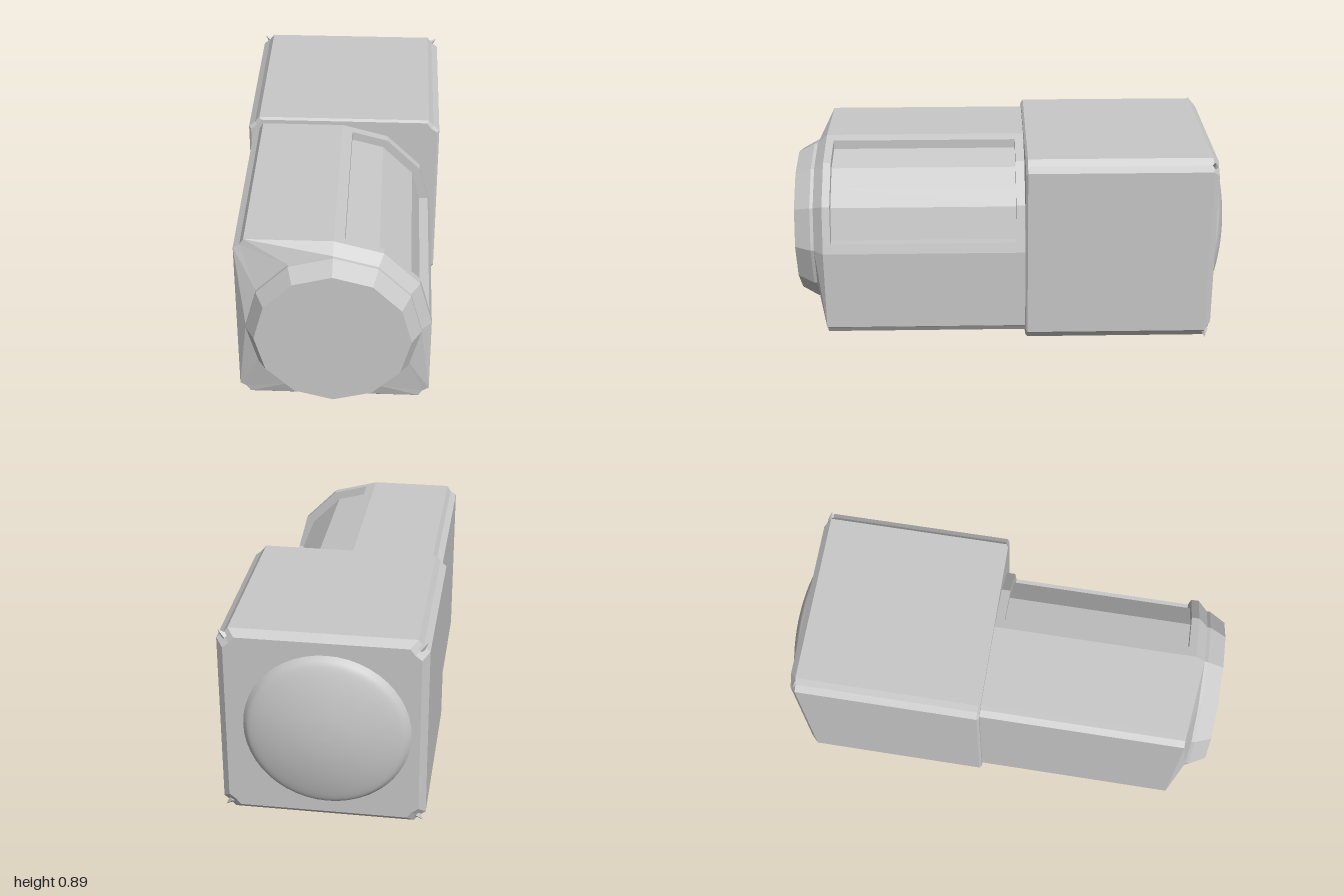
import * as THREE from 'three';

const CY = 0.445; // height of the long axis
const STEP = 0.045; // margin beside the window recess
const polar = (r, deg) => [r * Math.cos(deg * Math.PI / 180), r * Math.sin(deg * Math.PI / 180)];
const mid = (a, b) => [(a[0] + b[0]) / 2, (a[1] + b[1]) / 2];

// Quarter outlines, running from +x to just before +y
function squareQuarter(h, c, notch) {
  return [[h, 0], [h, h - c], [h - notch, h - notch], [h - c, h]];
}
function gonQuarter(r) {
  const a = polar(r, 30), b = polar(r, 60);
  return [[r, 0], a, mid(a, b), b];
}
// Twelve-sided quarter whose middle may be sunk to a smaller radius
function roundQuarter(r, sunk = r) {
  const a = polar(sunk, 30), b = polar(sunk, 60);
  const edge = (q) => q - STEP * 0.268;
  return [
    [r, 0], [edge(r), STEP], [edge(sunk), STEP],
    a, mid(a, b), b,
    [STEP, edge(sunk)], [STEP, edge(r)],
  ];
}

// Joins a first quarter and three turned copies of another quarter
function outline(first, rest) {
  const pts = [...first];
  for (let k = 1; k < 4; k++) {
    for (const [x, y] of rest) {
      pts.push(k === 1 ? [-y, x] : k === 2 ? [-x, -y] : [y, -x]);
    }
  }
  return pts;
}

// Flat-shaded skin through outlines at rising z, closed at both ends
function loft(rings) {
  const pos = [];
  const tri = (...v) => v.forEach((p) => pos.push(...p));
  const at = ([pts, z], i) => [...pts[i % pts.length], z];
  const span = (p, q) => Math.hypot(p[0] - q[0], p[1] - q[1], p[2] - q[2]);
  const n = rings[0][0].length;
  const last = rings[rings.length - 1];
  for (let i = 0; i < n; i++) {
    for (let k = 0; k + 1 < rings.length; k++) {
      const a = at(rings[k], i), b = at(rings[k], i + 1);
      const c = at(rings[k + 1], i + 1), d = at(rings[k + 1], i);
      // Split along the longer diagonal, so bevels fan out from the corners
      if (span(a, c) >= span(b, d)) {
        tri(a, b, c);
        tri(a, c, d);
      } else {
        tri(a, b, d);
        tri(b, c, d);
      }
    }
    tri([0, 0, rings[0][1]], at(rings[0], i + 1), at(rings[0], i));
    tri([0, 0, last[1]], at(last, i), at(last, i + 1));
  }
  const g = new THREE.BufferGeometry();
  g.setAttribute('position', new THREE.Float32BufferAttribute(pos, 3));
  g.computeVertexNormals();
  return g;
}

export function createModel() {
  const group = new THREE.Group();
  const grey = new THREE.MeshStandardMaterial({ color: 0xc8c8c8 });
  grey.name = 'grey';
  const add = (name, geometry, x, y, z = 0) => {
    const mesh = new THREE.Mesh(geometry, grey);
    mesh.name = name;
    mesh.position.set(x, y, z);
    group.add(mesh);
    return mesh;
  };

  // Front barrel: square with one rounded corner holding a sunken window
  const side = squareQuarter(0.418, 0.045, 0.028);
  const full = outline(roundQuarter(0.418), side);
  const sunk = outline(roundQuarter(0.418, 0.377), side);
  const gon = (r) => outline(roundQuarter(r), gonQuarter(r));
  add('barrel', loft([
    [full, -0.07], [full, -0.01],
    [sunk, -0.01], [sunk, 0.83],
    [full, 0.83], [full, 0.865],
    [gon(0.375), 0.91],
  ]), -0.004, CY - 0.002);

  // Twelve-sided front knob
  add('frontKnob', loft([
    [gon(0.375), 0.9], [gon(0.375), 0.925], [gon(0.333), 1],
  ]), -0.004, CY - 0.002);

  // Larger rear housing with notched long edges and bevelled ends
  const box = (inset) => {
    const q = squareQuarter(0.445 - inset, 0.05, 0.028);
    return outline(q, q);
  };
  add('rearHousing', loft([
    [box(0.03), -0.91], [box(0), -0.88], [box(0), -0.06], [box(0.01), -0.05],
  ]), 0, CY);

  // Small points on the rear corners
  for (const sx of [-1, 1]) {
    for (const sy of [-1, 1]) {
      const geometry = new THREE.ConeGeometry(0.018, 0.045, 4).toNonIndexed();
      geometry.computeVertexNormals();
      const spike = add('cornerPoint', geometry, sx * 0.421, CY + sy * 0.421, -0.885);
      spike.quaternion.setFromUnitVectors(
        new THREE.Vector3(0, 1, 0), new THREE.Vector3(sx, sy, 0).normalize());
    }
  }

  // Smooth rear dome
  const profile = new THREE.SplineCurve([
    [0.365, 0.9], [0.352, 0.92], [0.322, 0.945], [0.22, 0.975], [0.1, 0.995], [0, 1],
  ].map(([r, h]) => new THREE.Vector2(r, h))).getPoints(20);
  profile[profile.length - 1].x = 0;
  add('rearDome', new THREE.LatheGeometry(profile, 48).rotateX(-Math.PI / 2), -0.02, CY);

  return group;
}
